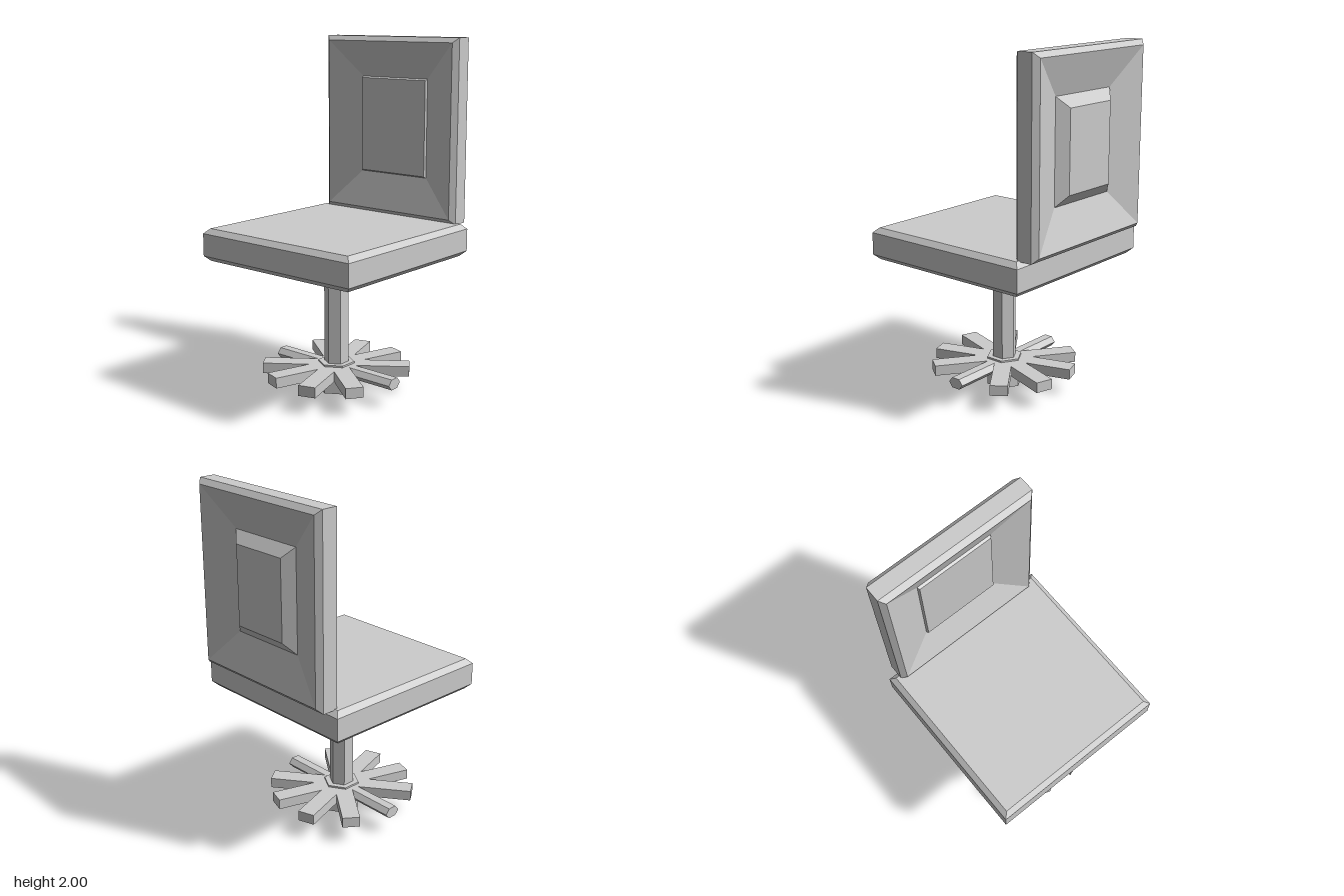
import * as THREE from 'three';

// Flat-faced solid from rectangular rings [halfWidth, halfHeight, z], ordered from back to front.
function ringSolid(rings) {
  const pos = [];
  const corners = ([w, h, z]) => [[-w, -h, z], [w, -h, z], [w, h, z], [-w, h, z]];
  const quad = (a, b, c, d) => pos.push(...a, ...b, ...c, ...a, ...c, ...d);
  const loops = rings.map(corners);
  for (let i = 0; i < loops.length - 1; i++) {
    const a = loops[i], b = loops[i + 1];
    for (let j = 0; j < 4; j++) {
      const k = (j + 1) % 4;
      quad(a[j], a[k], b[k], b[j]);
    }
  }
  const first = loops[0], last = loops[loops.length - 1];
  quad(first[3], first[2], first[1], first[0]);
  quad(...last);
  const geo = new THREE.BufferGeometry();
  geo.setAttribute('position', new THREE.Float32BufferAttribute(pos, 3));
  geo.computeVertexNormals();
  return geo;
}

export function createModel() {
  const grey = new THREE.MeshStandardMaterial({ color: 0xcccccc, flatShading: true });
  grey.name = 'grey';
  const model = new THREE.Group();
  model.name = 'swivelChair';

  const add = (name, geo, x, y, z, parent = model) => {
    const mesh = new THREE.Mesh(geo, grey);
    mesh.name = name;
    mesh.position.set(x, y, z);
    parent.add(mesh);
    return mesh;
  };

  // Seat cushion, chamfered along its top and bottom rims
  const seat = ringSolid([
    [0.497, 0.497, -0.0925], [0.526, 0.526, -0.064],
    [0.526, 0.526, 0.064], [0.497, 0.497, 0.0925],
  ]).rotateX(-Math.PI / 2);
  add('seat', seat, 0, 0.8675, 0.037);

  // Backrest: raised rear pad in a recess, chamfered rim, recessed front panel
  const back = ringSolid([
    [0.175, 0.225, -0.054], [0.235, 0.285, -0.004],
    [0.445, 0.495, -0.073], [0.474, 0.523, -0.045],
    [0.474, 0.523, 0.045], [0.445, 0.495, 0.073],
    [0.235, 0.285, 0.004], [0.229, 0.277, 0.018],
  ]);
  add('backrest', back, 0, 1.477, -0.49);

  // Hexagonal post and hub
  const baseZ = 0.04;
  add('post', new THREE.CylinderGeometry(0.07, 0.07, 0.64, 6), 0, 0.47, baseZ);
  add('hub', new THREE.CylinderGeometry(0.105, 0.105, 0.17, 6), 0, 0.085, baseZ);

  // Star base: one hexagonal bar across and four flat bars, ten arms in all
  const base = new THREE.Group();
  base.name = 'starBase';
  base.position.set(0, 0.13, baseZ);
  model.add(base);
  const hexBar = new THREE.CylinderGeometry(0.05, 0.05, 0.84, 6)
    .rotateZ(Math.PI / 2).scale(1, 0.693, 1);
  add('crossArm', hexBar, 0, 0, 0, base);
  const flatBar = new THREE.BoxGeometry(0.84, 0.06, 0.1);
  for (let i = 1; i < 5; i++) {
    add('flatArm', flatBar, 0, 0, 0, base).rotation.y = i * Math.PI / 5;
  }
  return model;
}
